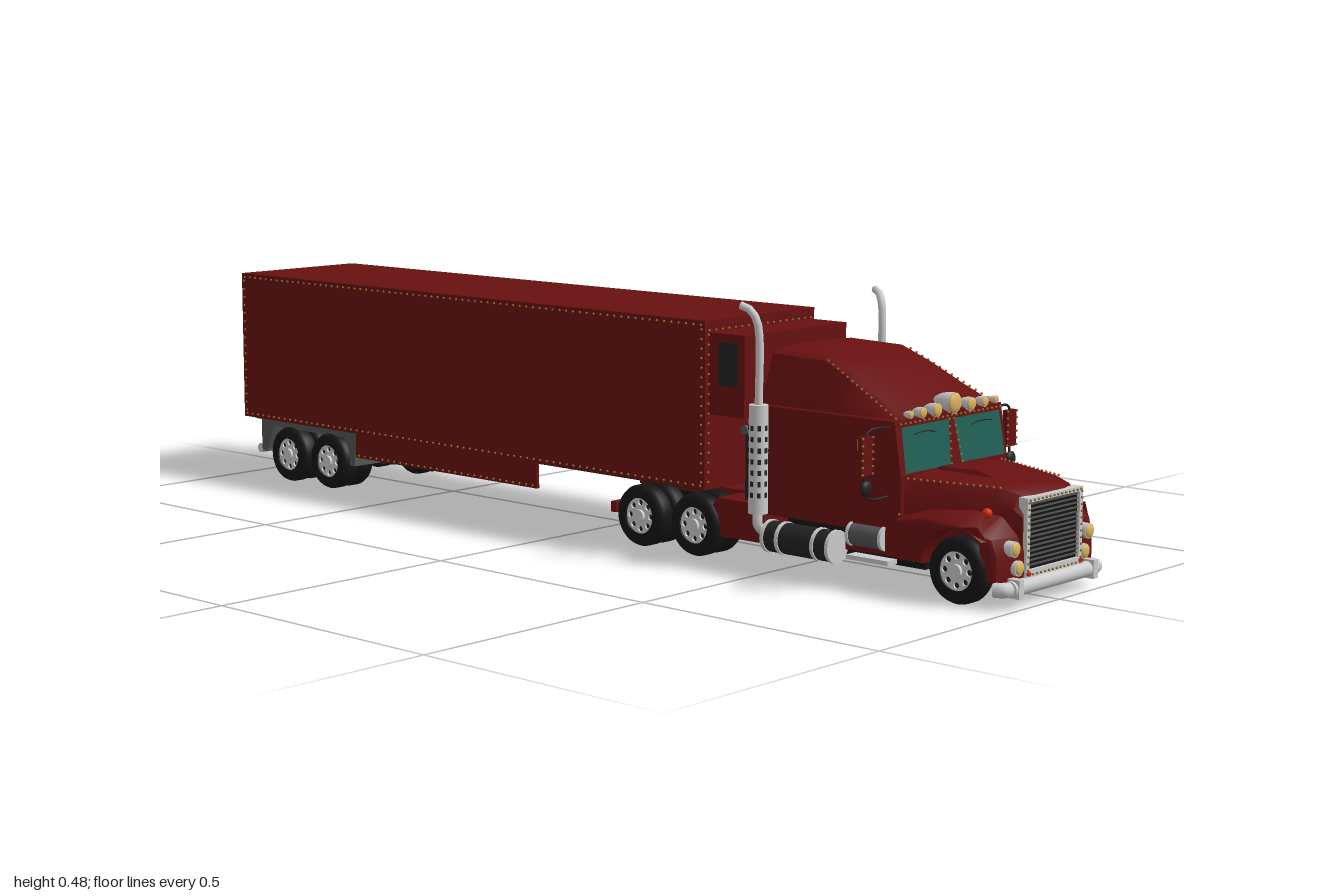
import * as THREE from 'three';
import { mergeGeometries, toCreasedNormals } from 'three/addons/utils/BufferGeometryUtils.js';

const mat = (color, side = THREE.FrontSide) => new THREE.MeshStandardMaterial({ color, side });
const RED = mat(0x681010, THREE.DoubleSide), DARK = mat(0x222222), TYRE = mat(0x151515), CHROME = mat(0xcccccc, THREE.DoubleSide);
const GLASS = mat(0x1f5f56, THREE.DoubleSide), LAMP = mat(0xd8b45c), AMBER = mat(0x96702c), SIGNAL = mat(0xd02a0c), GREY = mat(0x555555);
const V = (x, y, z) => new THREE.Vector3(x, y, z);
const SIDES = [-1, 1];

// Axis-aligned block given by its limits
const block = (x0, x1, y0, y1, z0, z1) => new THREE.BoxGeometry(Math.abs(x1 - x0), y1 - y0, z1 - z0)
  .translate((x0 + x1) / 2, (y0 + y1) / 2, (z0 + z1) / 2);

// Side profile of [z, y] points extruded from x0 to x1
function profile(pts, x0, x1, bevel = 0) {
  const shape = new THREE.Shape(pts.map(p => new THREE.Vector2(...p)));
  return new THREE.ExtrudeGeometry(shape, { depth: x1 - x0, bevelEnabled: bevel > 0, bevelSize: bevel, bevelThickness: bevel, bevelOffset: -bevel, bevelSegments: 3 })
    .rotateY(-Math.PI / 2).translate(x1, 0, 0);
}

// Mirrored cross-sections { z, half: [[x, y], ...] }, back to front, half running bottom to top
function loft(sections) {
  const rings = sections.map(({ z, half }) => [...half, ...half.slice().reverse().map(([x, y]) => [-x, y])].map(([x, y]) => V(x, y, z)));
  const n = rings[0].length, tris = [];
  for (let i = 0; i < rings.length - 1; i++) for (let j = 0; j < n; j++) {
    const k = (j + 1) % n, a = rings[i], b = rings[i + 1];
    tris.push(a[j], a[k], b[j], a[k], b[k], b[j]);
  }
  const first = rings[0], last = rings[rings.length - 1];
  for (let j = 1; j < n - 1; j++) tris.push(first[0], first[j + 1], first[j], last[0], last[j], last[j + 1]);
  const geo = new THREE.BufferGeometry().setFromPoints(tris);
  geo.computeVertexNormals();
  return toCreasedNormals(geo, 0.6);
}

const rod = (pts, r) => new THREE.TubeGeometry(new THREE.CatmullRomCurve3(pts.map(p => V(...p)), false, 'centripetal'), 24, r, 10);
const bar = (x, y, z, len, r, axis) => {
  const g = new THREE.CylinderGeometry(r, r, len, 20);
  if (axis === 'x') g.rotateZ(Math.PI / 2);
  if (axis === 'z') g.rotateX(Math.PI / 2);
  return g.translate(x, y, z);
};

// Rows of small marker beads along line segments
function beads(paths, step = 0.018) {
  const parts = [];
  for (const [a, b] of paths) {
    const p = V(...a), q = V(...b), n = Math.max(1, Math.round(p.distanceTo(q) / step));
    for (let i = 0; i <= n; i++) {
      const c = p.clone().lerp(q, i / n);
      parts.push(new THREE.IcosahedronGeometry(0.0026, 0).translate(c.x, c.y, c.z));
    }
  }
  return mergeGeometries(parts);
}

// Wheel facing outwards on side s: one or two tyres plus a pierced rim
function wheel(s, z, dual) {
  const g = new THREE.Group();
  g.name = dual ? 'dualWheel' : 'frontWheel';
  const w = 0.019, tyre = new THREE.LatheGeometry([[0.034, -w], [0.048, -w], [0.055, -w * 0.85], [0.058, -w * 0.5], [0.058, w * 0.5],
    [0.055, w * 0.85], [0.048, w], [0.034, w], [0.034, -w]].map(p => new THREE.Vector2(...p)), 36).rotateZ(Math.PI / 2);
  const disc = new THREE.Shape().absarc(0, 0, 0.035, 0, Math.PI * 2);
  for (let i = 0; i < 8; i++) {
    const a = i * Math.PI / 4;
    disc.holes.push(new THREE.Path().absarc(0.025 * Math.cos(a), 0.025 * Math.sin(a), 0.0055, 0, Math.PI * 2, true));
  }
  const add = (name, geo, m) => { const o = new THREE.Mesh(geo, m); o.name = name; g.add(o); };
  for (const x of dual ? [0, -0.042] : [0]) add('tyre', tyre.clone().translate(x, 0, 0), TYRE);
  add('rim', new THREE.ExtrudeGeometry(disc, { depth: 0.004, bevelEnabled: false, curveSegments: 20 }).rotateY(Math.PI / 2).translate(0.011, 0, 0), CHROME);
  add('hub', bar(0.014, 0, 0, 0.014, 0.012, 'x'), CHROME);
  add('brakeDrum', bar(dual ? -0.026 : -0.006, 0, 0, dual ? 0.07 : 0.028, 0.034, 'x'), DARK);
  g.position.set(s * 0.14, 0.058, z);
  if (s < 0) g.rotation.y = Math.PI;
  return g;
}

export function createModel() {
  const root = new THREE.Group();
  let group;
  const section = name => { group = new THREE.Group(); group.name = name; root.add(group); };
  const add = (name, geo, m) => { const o = new THREE.Mesh(geo, m); o.name = name; group.add(o); };

  // Trailer body, cooling unit, skirts and rear doors
  section('trailer');
  add('trailerBox', block(-0.156, 0.156, 0.126, 0.436, -0.99, 0.335), RED);
  add('trailerFloor', block(-0.14, 0.14, 0.121, 0.1265, -0.97, 0.32), DARK);
  add('coolingUnit', block(-0.146, 0.146, 0.265, 0.415, 0.335, 0.42), RED);
  for (const s of SIDES) {
    add('coolingVent', block(s * 0.145, s * 0.148, 0.32, 0.4, 0.36, 0.405), DARK);
    add('skirt', block(s * 0.146, s * 0.153, 0.075, 0.13, -0.63, -0.1), RED);
    add('doorRod', bar(s * 0.008, 0.281, -0.992, 0.29, 0.003, 'y'), CHROME);
    for (const y of [0.15, 0.41]) add('cornerLamp', bar(s * 0.14, y, -0.991, 0.006, 0.006, 'z'), SIGNAL);
    for (const z of [-0.645, -0.93]) add('mudFlap', block(s * 0.075, s * 0.15, 0.055, 0.126, z - 0.008, z + 0.008), GREY);
    add('bogieFender', profile([[-0.63, 0.08], [-0.65, 0.08], [-0.67, 0.112], [-0.9, 0.112], [-0.92, 0.06], [-0.94, 0.06], [-0.94, 0.126], [-0.63, 0.126]], s * 0.115 - 0.035, s * 0.115 + 0.035), GREY);
    for (const x of [0.08, 0.105, 0.13]) add('tailLamp', bar(s * x, 0.1, -0.942, 0.008, 0.007, 'z'), SIGNAL);
  }
  add('bogie', block(-0.07, 0.07, 0.05, 0.122, -0.92, -0.64), DARK);
  add('rearLampPanel', block(-0.146, 0.146, 0.075, 0.126, -0.94, -0.925), GREY);
  add('rearBumper', bar(0, 0.06, -0.945, 0.3, 0.01, 'x'), CHROME);
  add('kingpinPlate', block(-0.06, 0.06, 0.11, 0.124, 0.18, 0.3), DARK);
  const rows = [];
  for (const s of SIDES) {
    const x = s * 0.157;
    for (const y of [0.133, 0.428]) rows.push([[x, y, -0.98], [x, y, 0.325]]);
    for (const z of [-0.982, 0.327]) rows.push([[x, 0.14, z], [x, 0.42, z]]);
    rows.push([[s * 0.154, 0.08, -0.62], [s * 0.154, 0.08, -0.11]]);
    for (const z of [-0.991, 0.336]) rows.push([[s * 0.147, 0.14, z], [s * 0.147, 0.41, z]]);
  }
  for (const [y, z] of [[0.135, -0.991], [0.418, -0.991], [0.418, 0.336]]) rows.push([[-0.145, y, z], [0.145, y, z]]);
  add('trailerMarkers', beads(rows), AMBER);

  // Wheels and axles
  section('wheels');
  for (const [z, dual] of [[0.897, false], [0.31, true], [0.175, true], [-0.715, true], [-0.843, true]]) {
    for (const s of SIDES) group.add(wheel(s, z, dual));
    add('axle', bar(0, 0.058, z, 0.24, 0.012, 'x'), DARK);
  }

  // Tractor chassis
  section('chassis');
  add('frameRails', block(-0.07, 0.07, 0.055, 0.105, 0.1, 0.95), TYRE);
  add('underPan', block(-0.138, 0.138, 0.046, 0.06, 0.47, 0.82), TYRE);
  add('rearDeck', block(-0.075, 0.075, 0.1, 0.118, 0.1, 0.46), RED);
  add('rearCrossbar', block(-0.15, 0.15, 0.055, 0.075, 0.095, 0.108), RED);
  add('fifthWheel', block(-0.055, 0.055, 0.115, 0.125, 0.17, 0.3), DARK);
  add('equipmentBox', block(-0.13, 0.13, 0.115, 0.235, 0.41, 0.465), DARK);
  add('stackCrossbar', bar(0, 0.25, 0.44, 0.34, 0.008, 'x'), GREY);
  for (const s of SIDES) {
    add('quarterFender', profile([[0.365, 0.045], [0.47, 0.045], [0.47, 0.115], [0.36, 0.115], [0.35, 0.1]], s * 0.115 - 0.035, s * 0.115 + 0.035), RED);
    add('fuelTank', bar(s * 0.165, 0.066, 0.575, 0.15, 0.028, 'z'), DARK);
    for (const z of [0.502, 0.535, 0.615, 0.648]) add('tankBand', bar(s * 0.165, 0.066, z, 0.007, 0.03, 'z'), CHROME);
    add('airTank', bar(s * 0.15, 0.092, 0.71, 0.075, 0.021, 'z'), GREY);
    for (const z of [0.675, 0.745]) add('airTankBand', bar(s * 0.15, 0.092, z, 0.006, 0.0225, 'z'), CHROME);
    add('step', block(s * 0.13, s * 0.165, 0.048, 0.056, 0.67, 0.76), CHROME);
    // Exhaust stack with pierced heat shield
    const x = s * 0.177;
    add('exhaustPipe', rod([[x, 0.09, 0.48], [x, 0.3, 0.48], [x, 0.425, 0.48], [x + s * 0.004, 0.455, 0.475], [x + s * 0.011, 0.472, 0.462], [x + s * 0.016, 0.476, 0.45]], 0.0072), CHROME);
    add('heatShield', bar(x, 0.203, 0.48, 0.195, 0.0175, 'y'), CHROME);
    const slots = [];
    for (let r = 0; r < 7; r++) for (let k = 0; k < 8; k++)
      slots.push(new THREE.BoxGeometry(0.006, 0.009, 0.002).translate(0, 0.14 + r * 0.02, 0.0172).rotateY(k * Math.PI / 4).translate(x, 0, 0.48));
    add('shieldSlots', mergeGeometries(slots), DARK);
    add('exhaustElbow', rod([[x, 0.11, 0.48], [x, 0.085, 0.48], [x - s * 0.02, 0.07, 0.48], [s * 0.1, 0.068, 0.48]], 0.009), CHROME);
  }

  // Cab, sleeper and roof fairing
  section('cab');
  add('cabBody', profile([[0.463, 0.1], [0.66, 0.1], [0.66, 0.062], [0.78, 0.062], [0.78, 0.205], [0.765, 0.298], [0.463, 0.298]], -0.153, 0.153, 0.004), RED);
  add('roofFairing', loft([[0.463, 0.118, 0.393], [0.58, 0.118, 0.39], [0.64, 0.123, 0.365], [0.7, 0.132, 0.333], [0.745, 0.142, 0.309], [0.768, 0.148, 0.297]]
    .map(([z, w, y]) => ({ z, half: [[0.153, 0.288], [0.152, 0.293], [w, y - 0.008], [w - 0.012, y], [0.04, y + 0.003]] }))), RED);
  for (const s of SIDES) {
    const pane = new THREE.Shape([[0.016, 0.208], [0.146, 0.208], [0.143, 0.286], [0.008, 0.286]].map(p => new THREE.Vector2(s * p[0], p[1])));
    const glass = new THREE.ShapeGeometry(pane), pos = glass.attributes.position;
    for (let i = 0; i < pos.count; i++) pos.setZ(i, 0.782 - (pos.getY(i) - 0.205) * 0.161);
    glass.computeVertexNormals();
    add('windshield', glass, GLASS);
    add('wiper', rod([[s * 0.05, 0.27, 0.774], [s * 0.08, 0.274, 0.773], [s * 0.115, 0.272, 0.773]], 0.001), DARK);
    add('sideWindow', profile([[0.675, 0.2], [0.768, 0.2], [0.756, 0.286], [0.675, 0.286]], s * 0.153 - 0.0012, s * 0.153 + 0.0012), GLASS);
    for (let i = 0; i < 4; i++) add('sleeperVent', block(s * 0.152, s * 0.155, 0.148, 0.18, 0.545 + i * 0.025, 0.563 + i * 0.025), DARK);
    add('doorHandle', block(s * 0.152, s * 0.157, 0.17, 0.176, 0.675, 0.695), CHROME);
    // Mirrors on bracket arms
    add('mirrorArm', rod([[s * 0.15, 0.286, 0.752], [s * 0.2, 0.286, 0.747], [s * 0.212, 0.275, 0.745], [s * 0.212, 0.225, 0.745], [s * 0.212, 0.175, 0.745], [s * 0.2, 0.167, 0.747], [s * 0.15, 0.167, 0.752]], 0.0022), DARK);
    add('mirror', block(s * 0.198, s * 0.226, 0.21, 0.276, 0.74, 0.75), RED);
    add('mirrorGlass', block(s * 0.2, s * 0.224, 0.213, 0.273, 0.738, 0.741), CHROME);
    add('roundMirror', new THREE.SphereGeometry(0.014, 16, 10).scale(1, 1, 0.5).translate(s * 0.212, 0.187, 0.748), DARK);
  }
  // Bullet-shaped roof lamps
  for (const [x, r] of [[0, 0.019], [0.05, 0.0125], [0.091, 0.01], [0.125, 0.007]]) for (const s of x ? SIDES : [1]) {
    const y = x ? 0.307 : 0.314;
    add('roofLampShell', new THREE.SphereGeometry(r, 16, 8, 0, Math.PI * 2, 0, Math.PI / 2).scale(1, 2.4, 1).rotateX(-Math.PI / 2).translate(s * x, y, 0.776), CHROME);
    add('roofLamp', new THREE.SphereGeometry(r * 0.95, 16, 8).scale(1, 1, 0.35).translate(s * x, y, 0.776), LAMP);
  }
  const cabRows = [[[-0.146, 0.292, 0.77], [0.146, 0.292, 0.77]]];
  for (const s of SIDES) {
    cabRows.push([[s * 0.016, 0.21, 0.783], [s * 0.007, 0.286, 0.77]], [[s * 0.154, 0.105, 0.47], [s * 0.154, 0.105, 0.65]], [[s * 0.154, 0.29, 0.47], [s * 0.154, 0.29, 0.66]],
      [[s * 0.154, 0.075, 0.664], [s * 0.154, 0.28, 0.664]], [[s * 0.198, 0.212, 0.751], [s * 0.198, 0.274, 0.751]], [[s * 0.226, 0.212, 0.751], [s * 0.226, 0.274, 0.751]], [[s * 0.144, 0.3, 0.757], [s * 0.119, 0.383, 0.59]]);
  }
  add('cabMarkers', beads(cabRows, 0.013), AMBER);

  // Hood, fenders, grille and bumper
  section('nose');
  add('hood', loft([[0.765, 0.152, 0.205], [0.82, 0.138, 0.205], [0.93, 0.102, 0.2], [0.965, 0.091, 0.192], [0.98, 0.086, 0.18]]
    .map(([z, w, y]) => ({ z, half: [[Math.min(w, 0.1), 0.06], [w, 0.1], [w, y - 0.03], [w - 0.016, y - 0.006], [w * 0.5, y]] }))), RED);
  add('hoodScoop', loft([[0.79, 0.055, 0.211], [0.86, 0.05, 0.212], [0.9, 0.045, 0.2]].map(([z, w, y]) => ({ z, half: [[w + 0.01, 0.19], [w, y]] }))), RED);
  add('cowlVent', block(-0.05, 0.05, 0.204, 0.209, 0.775, 0.8), DARK);
  const arch = Array.from({ length: 13 }, (_, i) => { const a = Math.PI * i / 12; return [0.897 + 0.067 * Math.cos(a), 0.062 + 0.067 * Math.sin(a)]; });
  for (const s of SIDES) {
    // Fender tapers towards the front and rises to meet the hood
    const f = profile([...arch, [0.775, 0.062], [0.775, 0.15], [0.83, 0.16], [0.9, 0.157], [0.945, 0.145], [0.975, 0.118], [0.984, 0.09], [0.984, 0.045], [0.966, 0.045]], s * 0.119 - 0.041, s * 0.119 + 0.041, 0.006);
    const p = f.attributes.position;
    for (let i = 0; i < p.count; i++) {
      const x = Math.abs(p.getX(i)), z = p.getZ(i), out = (x - 0.078) / 0.082;
      p.setX(i, s * (x - Math.max(0, z - 0.93) * 0.35 * out));
      if (p.getY(i) > 0.14) p.setY(i, p.getY(i) + 0.012 - 0.03 * out);
      p.setZ(i, z - (z > 0.95 ? 0.014 * out : 0));
    }
    f.computeVertexNormals();
    add('fender', toCreasedNormals(f, 0.5), RED);
    for (const [x, y, r] of [[0.111, 0.1, 0.0135], [0.099, 0.066, 0.0135]]) {
      add('headlampRing', bar(s * x, y, 0.976, 0.018, r, 'z'), CHROME);
      add('headlamp', new THREE.SphereGeometry(r * 0.88, 18, 10).scale(1, 1, 0.4).translate(s * x, y, 0.985), LAMP);
    }
    add('turnSignal', new THREE.SphereGeometry(0.009, 14, 8).translate(s * 0.124, 0.157, 0.935), SIGNAL);
    add('grilleLamp', bar(s * 0.078, 0.054, 0.99, 0.004, 0.004, 'z'), SIGNAL);
    add('grilleFrame', block(s * 0.074, s * 0.083, 0.048, 0.182, 0.97, 0.988), CHROME);
    add('bumperEnd', rod([[s * 0.125, 0.034, 0.984], [s * 0.138, 0.034, 0.98], [s * 0.144, 0.034, 0.965]], 0.013), CHROME);
    add('bumperPad', block(s * 0.105, s * 0.119, 0.018, 0.051, 0.97, 0.999), CHROME);
  }
  add('grilleBack', block(-0.076, 0.076, 0.055, 0.178, 0.968, 0.982), TYRE);
  for (let i = 0; i < 14; i++) add('grilleSlat', block(-0.075, 0.075, 0.066 + i * 0.008, 0.0685 + i * 0.008, 0.98, 0.985), GREY);
  for (const [y0, y1] of [[0.046, 0.06], [0.175, 0.183]]) add('grilleFrame', block(-0.083, 0.083, y0, y1, 0.97, 0.988), CHROME);
  add('bumper', bar(0, 0.034, 0.984, 0.25, 0.014, 'x'), CHROME);
  const noseRows = [[[-0.076, 0.052, 0.989], [0.076, 0.052, 0.989]], [[-0.076, 0.179, 0.989], [0.076, 0.179, 0.989]]];
  for (const s of SIDES) noseRows.push([[s * 0.079, 0.06, 0.989], [s * 0.079, 0.175, 0.989]], [[s * 0.138, 0.199, 0.78], [s * 0.087, 0.195, 0.935]], [[s * 0.161, 0.068, 0.78], [s * 0.161, 0.14, 0.78]]);
  add('noseMarkers', beads(noseRows, 0.012), AMBER);
  return root;
}
